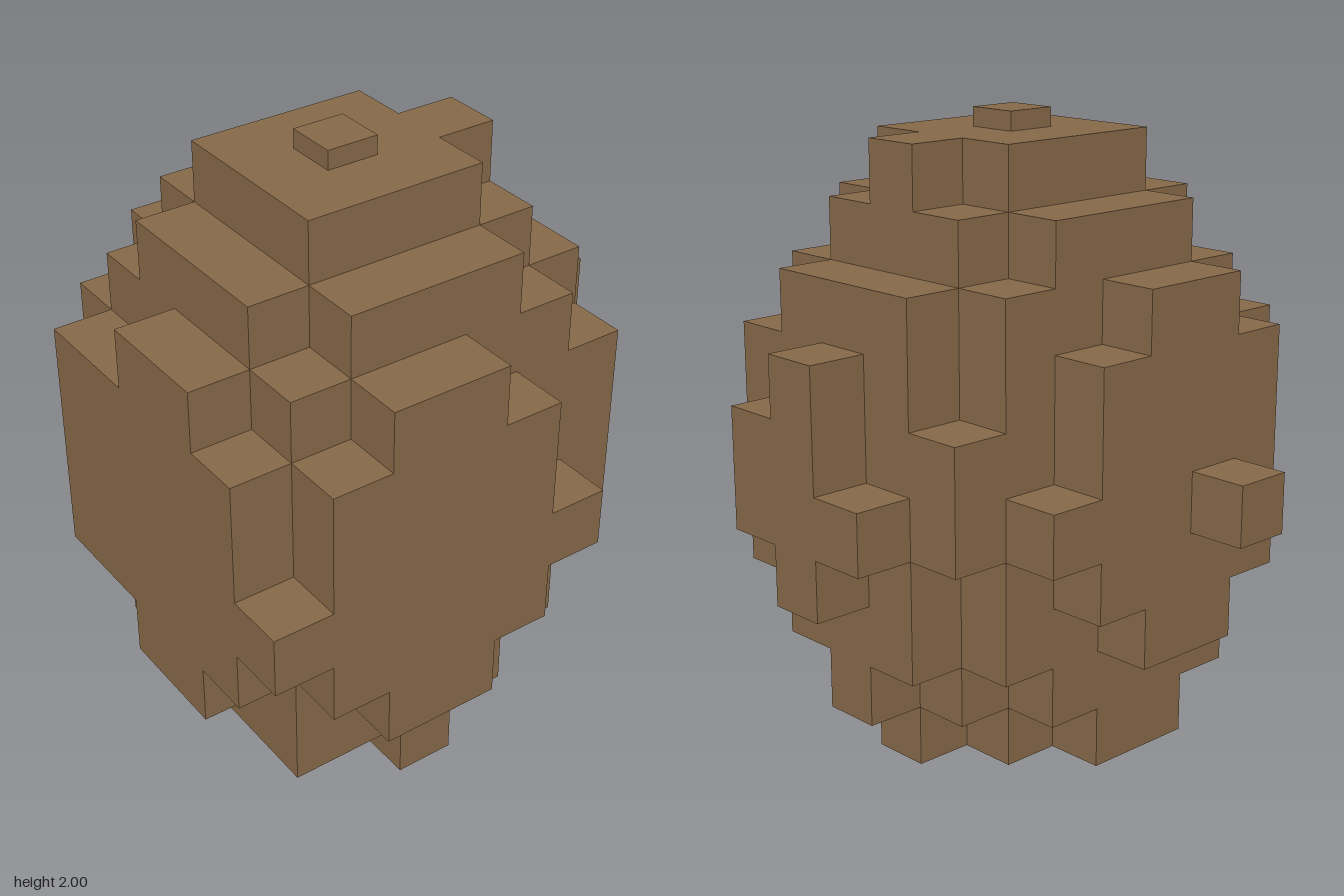
import * as THREE from 'three';
import { mergeGeometries } from 'three/addons/utils/BufferGeometryUtils.js';

const U = 0.194; // edge of one cube

// Blocks in cube units: [x0, x1, y0, y1, z0, z1] on an 8 x 10 x 8 grid
const PARTS = {
  core: [[1, 6, 2, 8, 2, 7]],
  crown: [[1, 6, 8, 9, 3, 6], [2, 5, 8, 9, 2, 7], [2, 5, 9, 10, 3, 6], [5, 6, 9, 10, 4, 5]],
  base: [
    [1, 5, 1, 2, 2, 7], [5, 6, 1, 2, 3, 6], [6, 7, 1, 2, 4, 5],
    [2, 4, 0, 1, 2, 6], [4, 5, 0, 1, 3, 6], [5, 6, 0, 1, 4, 5], [3, 4, 0, 1, 6, 7],
  ],
  frontPlate: [[2, 4, 2, 8, 7, 8], [1, 5, 3, 7, 7, 8], [0, 6, 4, 5, 7, 8]],
  backPlate: [[2, 4, 2, 8, 1, 2], [1, 5, 3, 7, 1, 2], [1, 6, 4, 5, 1, 2]],
  backNub: [[2, 3, 4, 5, 0, 1]],
  rightPlate: [[0, 1, 3, 7, 2, 7], [0, 1, 2, 8, 4, 6]],
  leftPlate: [[6, 7, 2, 8, 3, 6], [6, 7, 3, 7, 6, 7], [6, 7, 4, 6, 2, 3]],
  leftBoss: [[7, 8, 3, 7, 4, 5], [7, 8, 4, 6, 5, 6], [7, 8, 4, 5, 3, 4]],
};

// The six face directions, with the turn that points a plane that way
const FACES = [
  [1, 0, 0, 0, Math.PI / 2], [-1, 0, 0, 0, -Math.PI / 2],
  [0, 1, 0, -Math.PI / 2, 0], [0, -1, 0, Math.PI / 2, 0],
  [0, 0, 1, 0, 0], [0, 0, -1, 0, Math.PI],
];

export function createModel() {
  const group = new THREE.Group();
  group.name = 'blockyBoulder';
  const brown = new THREE.MeshStandardMaterial({ color: 0x866848 });
  brown.name = 'earthBrown';

  // Mark every filled cell with the part that owns it
  const cells = new Map();
  for (const [name, blocks] of Object.entries(PARTS)) {
    for (const [x0, x1, y0, y1, z0, z1] of blocks) {
      for (let x = x0; x < x1; x++)
        for (let y = y0; y < y1; y++)
          for (let z = z0; z < z1; z++) cells.set(`${x},${y},${z}`, name);
    }
  }

  // Keep only the cube faces that touch open air
  const skins = {};
  for (const [key, name] of cells) {
    const [x, y, z] = key.split(',').map(Number);
    for (const [dx, dy, dz, rx, ry] of FACES) {
      if (cells.has(`${x + dx},${y + dy},${z + dz}`)) continue;
      const face = new THREE.PlaneGeometry(U, U);
      face.rotateX(rx).rotateY(ry);
      face.translate(
        (x - 3.5 + dx / 2) * U,
        (y + 0.5 + dy / 2) * U,
        (z - 3.5 + dz / 2) * U,
      );
      (skins[name] ??= []).push(face);
    }
  }
  for (const [name, faces] of Object.entries(skins)) {
    const mesh = new THREE.Mesh(mergeGeometries(faces), brown);
    mesh.name = name;
    group.add(mesh);
  }

  // Small cap on the top
  const cap = new THREE.Mesh(new THREE.BoxGeometry(0.168, 0.06, 0.168), brown);
  cap.name = 'topCap';
  cap.position.set(-0.097, 1.97, 0.097);
  group.add(cap);

  return group;
}
